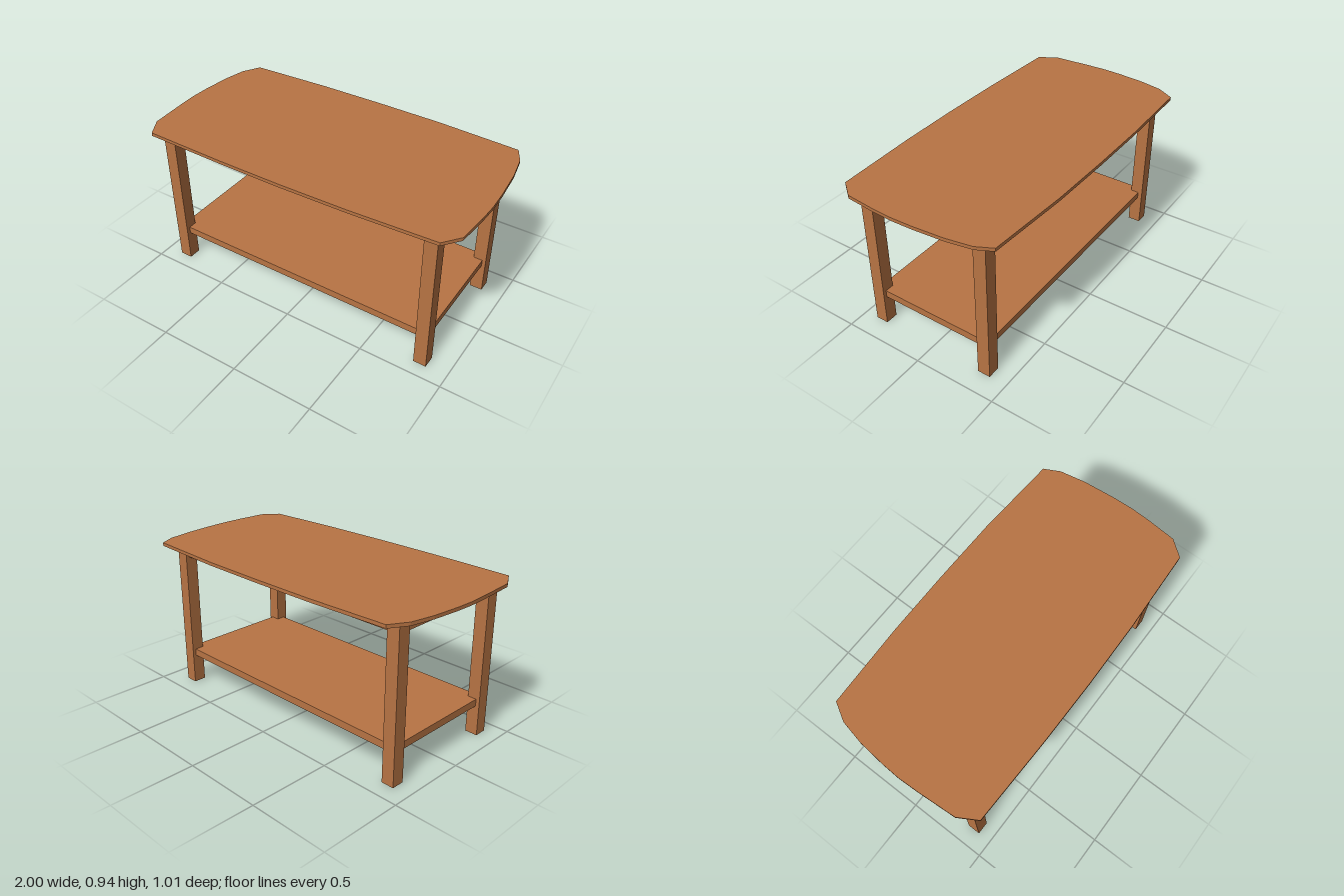
import * as THREE from 'three';

export function createModel() {
  const model = new THREE.Group();
  model.name = 'coffeeTable';
  const wood = new THREE.MeshStandardMaterial({ color: 0xb87444, side: THREE.DoubleSide });
  wood.name = 'warm wood';

  const add = (name, geometry) => {
    const mesh = new THREE.Mesh(geometry, wood);
    mesh.name = name;
    model.add(mesh);
    return mesh;
  };

  // Box given by its limits on each axis
  const slab = (name, [x0, x1], [y0, y1], [z0, z1]) =>
    add(name, new THREE.BoxGeometry(x1 - x0, y1 - y0, z1 - z0))
      .position.set((x0 + x1) / 2, (y0 + y1) / 2, (z0 + z1) / 2);

  // Table top: hand-cut bowed outline, as x and z pairs
  const outline = [
    [-0.89, -0.49], [-0.4, -0.508], [0, -0.51], [0.4, -0.505], [0.904, -0.478],
    [0.952, -0.385], [0.979, -0.235], [0.995, -0.05], [1, 0.08], [0.995, 0.2],
    [0.979, 0.38], [0.904, 0.475], [0.4, 0.498], [0, 0.505], [-0.4, 0.503],
    [-0.915, 0.49], [-0.979, 0.38], [-0.995, 0.15], [-1, 0.03], [-0.995, -0.08],
    [-0.979, -0.245], [-0.95, -0.385],
  ];
  const shape = new THREE.Shape(outline.map(([x, z]) => new THREE.Vector2(x, -z)));
  const top = new THREE.ExtrudeGeometry(shape, { depth: 0.02, bevelEnabled: false });
  top.rotateX(-Math.PI / 2);
  add('tableTop', top).position.y = 0.917;

  // Under-top slab and lower shelf, let into the legs
  const spanX = [-0.875, 0.85], spanZ = [-0.372, 0.392];
  slab('apron', spanX, [0.846, 0.911], spanZ);
  slab('shelf', spanX, [0.182, 0.226], spanZ);

  // Hollow square legs, open at the ends
  const legs = [
    ['frontLeftLeg', 0.833, 0.378], ['frontRightLeg', -0.859, 0.378],
    ['backLeftLeg', 0.833, -0.354], ['backRightLeg', -0.859, -0.36],
  ];
  for (const [name, x, z] of legs) {
    const r = 0.077 / Math.SQRT2;
    const tube = new THREE.CylinderGeometry(r, r, 0.917, 4, 1, true, Math.PI / 4).toNonIndexed();
    tube.computeVertexNormals();
    add(name, tube).position.set(x, 0.4585, z);
  }
  return model;
}
